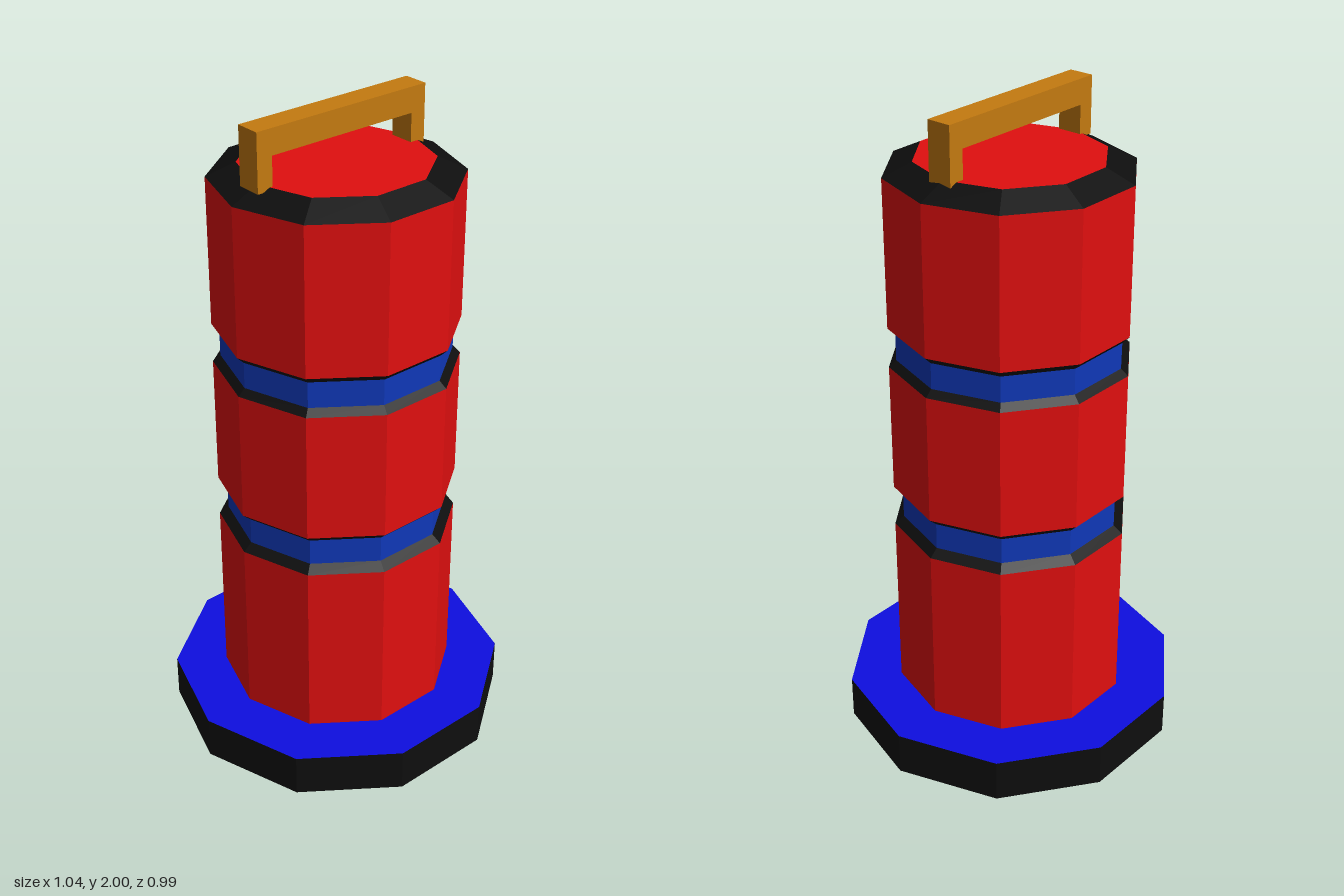
import * as THREE from 'three';

const SIDES = 10;
const mat = (color) => new THREE.MeshStandardMaterial({ color, flatShading: true });

export function createModel() {
  const model = new THREE.Group();
  const red = mat(0xe00f0f), black = mat(0x0e0e0e), blue = mat(0x0e0ee0);
  const bandBlue = mat(0x1038b8), orange = mat(0xc47a10), grey = mat(0xcccccc);

  const add = (name, geometry, material, x, y, parent = model) => {
    const mesh = new THREE.Mesh(geometry, material);
    mesh.name = name;
    mesh.position.set(x, y, 0);
    parent.add(mesh);
    return mesh;
  };
  // open ten-sided ring with a corner on +x
  const ring = (name, y0, y1, r0, r1, material) => add(name,
    new THREE.CylinderGeometry(r1, r0, y1 - y0, SIDES, 1, true, Math.PI / 2), material, 0, (y0 + y1) / 2);
  // flat ten-sided disc facing up or down
  const disc = (name, y, r, material, up = true) => {
    add(name, new THREE.CircleGeometry(r, SIDES), material, 0, y).rotation.x = up ? -Math.PI / 2 : Math.PI / 2;
  };

  // base plate
  disc('baseUnderside', 0, 0.52, grey, false);
  ring('baseRim', 0, 0.135, 0.52, 0.52, black);
  disc('baseTop', 0.135, 0.52, blue);

  // body sections, grooves and top bevel: name, end height, end radius, material
  let y = 0.135, r = 0.36;
  for (const [name, y1, r1, material] of [
    ['lowerBody', 0.70, 0.36, red],
    ['lowerGrooveBottom', 0.723, 0.333, black],
    ['lowerBand', 0.805, 0.333, bandBlue],
    ['lowerGrooveTop', 0.83, 0.36, black],
    ['middleBody', 1.23, 0.36, red],
    ['upperGrooveBottom', 1.25, 0.338, black],
    ['upperBand', 1.33, 0.338, bandBlue],
    ['upperGrooveTop', 1.352, 0.36, black],
    ['upperBody', 1.80, 0.36, red],
    ['topBevel', 1.84, 0.275, black],
  ]) {
    ring(name, y, y1, r, r1, material);
    y = y1;
    r = r1;
  }
  disc('topCap', y, r, red);

  // carrying handle
  const handle = new THREE.Group();
  handle.name = 'handle';
  model.add(handle);
  add('handleBar', new THREE.BoxGeometry(0.587, 0.075, 0.076), orange, -0.008, 1.9625, handle);
  for (const [name, x] of [['leftHandlePost', 0.261], ['rightHandlePost', -0.277]]) {
    add(name, new THREE.BoxGeometry(0.049, 0.095, 0.076), orange, x, 1.8775, handle);
  }
  return model;
}
